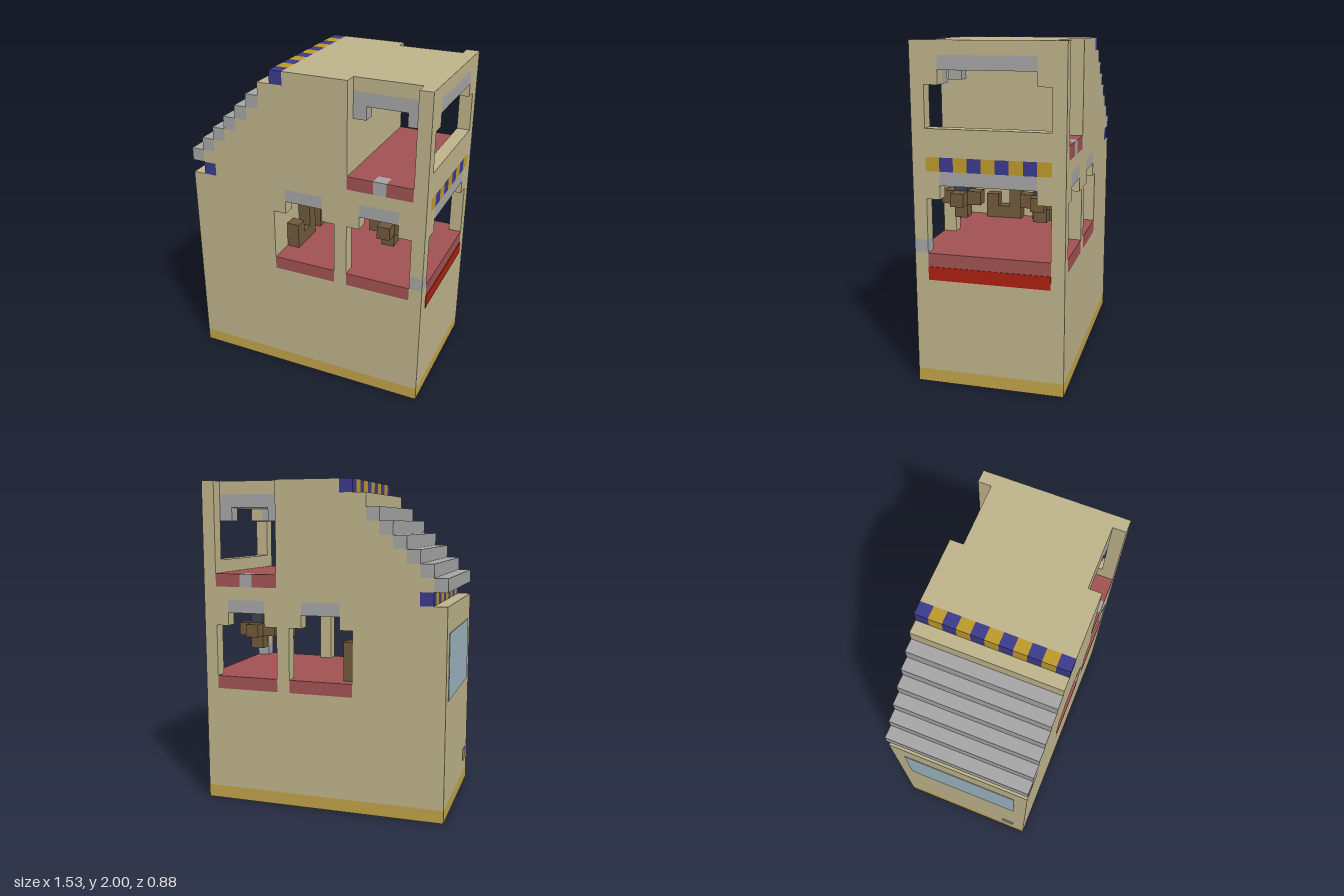
import * as THREE from 'three';

const mat = (name, color) => {
  const m = new THREE.MeshStandardMaterial({ color });
  m.name = name;
  return m;
};

export function createModel() {
  const tan = mat('tan wall', 0xbdb38a);
  const ochre = mat('ochre base', 0xc0a24a);
  const gold = mat('gold', 0xbc982b);
  const blue = mat('blue', 0x3b3a8c);
  const gray = mat('gray', 0xa5a5a6);
  const rose = mat('rose floor', 0xa05252);
  const red = mat('red', 0xaa2010);
  const brown = mat('brown wood', 0x70593c);
  const slate = mat('slate', 0x3f4350);
  const glass = mat('pale glass', 0x9db5c0);

  // Everything is laid out on a 19 x 25 x 11 grid of blocks
  const house = new THREE.Group();
  house.name = 'house';
  house.scale.setScalar(0.08);
  house.position.set(-0.76, 0, -0.44);

  const box = (name, m, x0, x1, y0, y1, z0, z1) => {
    const mesh = new THREE.Mesh(new THREE.BoxGeometry(x1 - x0, y1 - y0, z1 - z0), m);
    mesh.position.set((x0 + x1) / 2, (y0 + y1) / 2, (z0 + z1) / 2);
    mesh.name = name;
    house.add(mesh);
  };
  // Same box on the front and the back, mirrored in z
  const pair = (name, m, x0, x1, y0, y1, z0, z1) => {
    box(name, m, x0, x1, y0, y1, z0, z1);
    box(name, m, x0, x1, y0, y1, 11 - z1, 11 - z0);
  };

  // Base and main body with the stepped roof profile
  box('base', ochre, 0, 19, 0, 1, 0, 11);
  const profile = [[0, 1], [19, 1], [19, 9], [7, 9], [7, 16], [18, 16], [18, 17],
    [13, 17], [13, 25], [8, 25], [8, 24], [6, 24], [6, 22]];
  for (let x = 5; x >= 1; x--) profile.push([x, x + 17], [x, x + 16]);
  profile.push([2, 17], [2, 16], [0, 16]);
  const shape = new THREE.Shape(profile.map(([x, y]) => new THREE.Vector2(x, y)));
  const body = new THREE.Mesh(new THREE.ExtrudeGeometry(shape, { depth: 11, bevelEnabled: false }), tan);
  body.name = 'body';
  house.add(body);

  // Roof steps
  for (let s = 0; s < 6; s++) box('roofStep', gray, s, s + 1, 17 + s, 18 + s, 0, 11);

  // Striped trims
  const stripe = (x, y, z0, z1, first, second) => {
    for (let z = z0; z < z1; z++) {
      box('stripedTrim', (z - z0) % 2 ? second : first, x, x + 1, y, y + 1, z, z + 1);
    }
  };
  stripe(7, 24, 0, 11, blue, gold);
  stripe(1, 16, 0, 11, blue, gold);
  stripe(18, 16, 1, 10, gold, blue);

  // Corner posts and mullions
  box('cornerPost', tan, 18, 19, 9, 25, 0, 1);
  box('cornerPost', tan, 18, 19, 9, 10, 10, 11);
  box('cornerBlock', gray, 18, 19, 10, 11, 10, 11);
  box('cornerPost', tan, 18, 19, 11, 25, 10, 11);
  pair('mullion', tan, 12, 13, 9, 16, 10, 11);

  // Lower room: floor, ceiling, window tops
  box('lowerFloor', rose, 7, 12, 9, 10, 0, 11);
  box('lowerFloor', rose, 12, 13, 9, 10, 1, 10);
  box('lowerFloor', rose, 13, 18, 9, 10, 0, 11);
  box('lowerFloor', rose, 18, 19, 9, 10, 1, 10);
  box('lowerCeiling', gray, 7, 18, 15, 16, 1, 10);
  for (const x of [7, 11, 13, 17]) pair('windowCorner', tan, x, x + 1, 14, 16, 10, 11);
  for (const x of [8, 14]) pair('windowLintel', gray, x, x + 3, 15, 16, 10, 11);
  pair('sideWindowCorner', tan, 18, 19, 14, 16, 9, 10);
  box('sideLintel', gray, 18, 19, 15, 16, 2, 9);

  // Upper room: floor, side wall, ceiling, roof
  box('upperFloor', rose, 13, 18, 17, 18, 1, 10);
  pair('upperSill', rose, 13, 15, 17, 18, 10, 11);
  pair('upperSill', rose, 16, 18, 17, 18, 10, 11);
  pair('sillBlock', gray, 15, 16, 17, 18, 10, 11);
  box('upperSideWall', tan, 18, 19, 17, 19, 1, 10);
  pair('upperWindowCorner', tan, 18, 19, 22, 24, 9, 10);
  box('upperSideLintel', gray, 18, 19, 23, 24, 2, 9);
  box('upperCeiling', gray, 13, 18, 23, 24, 1, 10);
  for (const x of [13, 17]) pair('archLeg', gray, x, x + 1, 22, 23, 9, 10);
  box('roof', tan, 13, 19, 24, 25, 1, 10);

  // Benches along the inner wall: column heights by z
  const heights = { 1: 3, 2: 2, 3: 1, 4: 2, 6: 3, 7: 1, 8: 2 };
  for (const [z, h] of Object.entries(heights)) {
    box('bench', brown, 7, 8, 10, 10 + h, +z, +z + 1);
  }

  // Hanging lamps
  for (const z of [2, 8]) {
    box('lampRod', slate, 15, 16, 14, 15, z, z + 1);
    box('lampArm', brown, 14, 17, 13, 14, z, z + 1);
    box('lampArm', brown, 15, 16, 13, 14, z - 1, z);
    box('lampArm', brown, 15, 16, 13, 14, z + 1, z + 2);
    box('lampDrop', brown, 15, 16, 12, 13, z, z + 1);
  }

  // Flush painted panels
  box('redBand', red, 19, 19.04, 8, 9, 1, 10);
  box('sidePanel', glass, -0.04, 0, 9, 14, 1, 10);
  box('wallKnob', gray, -0.04, 0, 2, 3, 9, 10);

  const model = new THREE.Group();
  model.name = 'model';
  model.add(house);
  return model;
}
